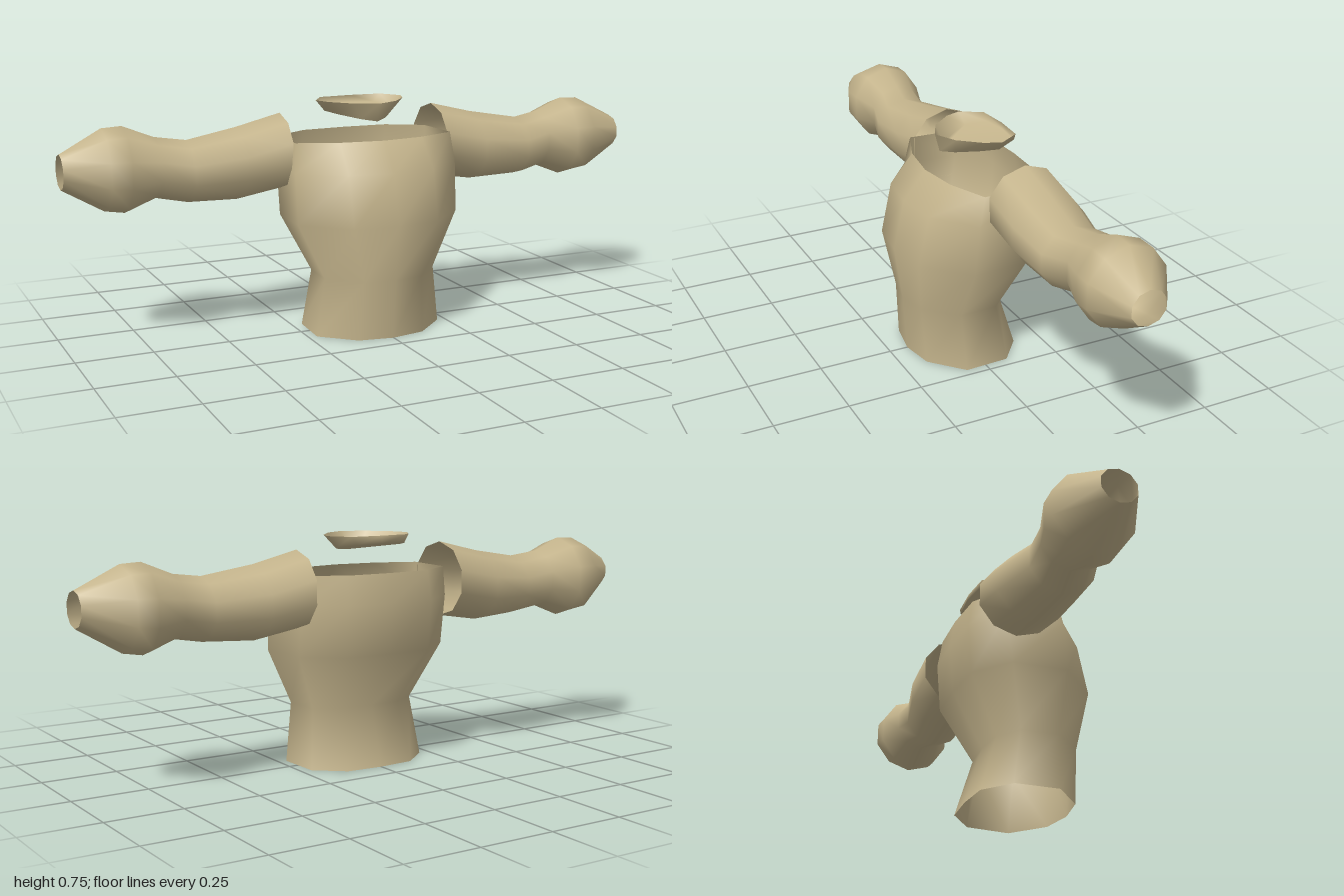
import * as THREE from 'three';

const cloth = new THREE.MeshStandardMaterial({ color: 0xc4b48c, side: THREE.DoubleSide });
cloth.name = 'tan cloth';

// Smooth open skin through closed rings of [x, y, z] points
function loft(name, rings) {
  const n = rings[0].length;
  const index = [];
  for (let r = 0; r < rings.length - 1; r++) {
    for (let i = 0; i < n; i++) {
      const a = r * n + i, b = r * n + (i + 1) % n;
      index.push(a, b, b + n, a, b + n, a + n);
    }
  }
  const geometry = new THREE.BufferGeometry();
  geometry.setAttribute('position', new THREE.Float32BufferAttribute(rings.flat(2), 3));
  geometry.setIndex(index);
  geometry.computeVertexNormals();
  const mesh = new THREE.Mesh(geometry, cloth);
  mesh.name = name;
  return mesh;
}

// Complete a half outline that runs from centre front to centre back
function mirrorRing(half) {
  const other = half.slice(1, -1).reverse().map(([x, y, z]) => [-x, y, z]);
  return [...half, ...other];
}

// Torso: height, half width, front z, back z, side-front z, side-back z
function torso() {
  const levels = [
    [0, 0.222, 0.187, -0.165, 0.07, -0.08],
    [0.195, 0.197, 0.2, -0.108, 0.08, -0.05],
    [0.38, 0.285, 0.227, -0.212, 0.075, -0.11],
    [0.545, 0.287, 0.19, -0.225, 0.06, -0.13],
    [0.64, 0.278, 0.113, -0.21, 0.04, -0.13],
  ];
  return loft('torso', levels.map(([y, w, front, back, sf, sb]) => mirrorRing([
    [0, y, front], [w * 0.52, y, front - 0.02], [w, y, sf],
    [w * 0.97, y, sb], [w * 0.55, y, back + 0.008], [0, y, back],
  ])));
}

// Sleeve stations: x, top y, bottom y, front z, back z
function arm(name, side) {
  const stations = [
    [0.277, 0.72, 0.472, 0.025, -0.222],
    [0.43, 0.683, 0.447, 0.026, -0.222],
    [0.6, 0.655, 0.455, 0.023, -0.185],
    [0.7, 0.669, 0.474, -0.004, -0.191],
    [0.8, 0.71, 0.435, 0.026, -0.222],
    [0.865, 0.707, 0.446, 0.03, -0.225],
    [1, 0.638, 0.527, -0.025, -0.137],
  ];
  const rings = stations.map(([x, top, bottom, front, back]) => {
    const ring = [];
    for (let i = 0; i < 10; i++) {
      const t = i / 10 * Math.PI * 2;
      ring.push([
        side * x,
        (top + bottom) / 2 + Math.cos(t) * (top - bottom) / 2,
        (front + back) / 2 + Math.sin(t) / 0.951 * (front - back) / 2,
      ]);
    }
    return ring;
  });
  return loft(name, side > 0 ? rings : rings.reverse());
}

// Shallow neck bowl with a flat rim and a floor falling to the front
function collar() {
  const rim = [[0, 0.755, 0.077], [0.075, 0.755, 0.04], [0.135, 0.755, -0.03],
    [0.155, 0.755, -0.085], [0.11, 0.755, -0.155], [0, 0.755, -0.163]];
  const base = [[0, 0.695, 0.061], [0.045, 0.701, 0.028], [0.095, 0.711, -0.04],
    [0.122, 0.718, -0.09], [0.09, 0.728, -0.16], [0, 0.73, -0.168]];
  const drain = base.map(([x, , z]) => [x * 0.08, 0.697, 0.048 + (z + 0.05) * 0.06]);
  return loft('collar', [drain, base, rim].map(mirrorRing));
}

export function createModel() {
  const model = new THREE.Group();
  model.name = 'upper body';
  model.add(torso(), arm('leftArm', 1), arm('rightArm', -1), collar());
  return model;
}
